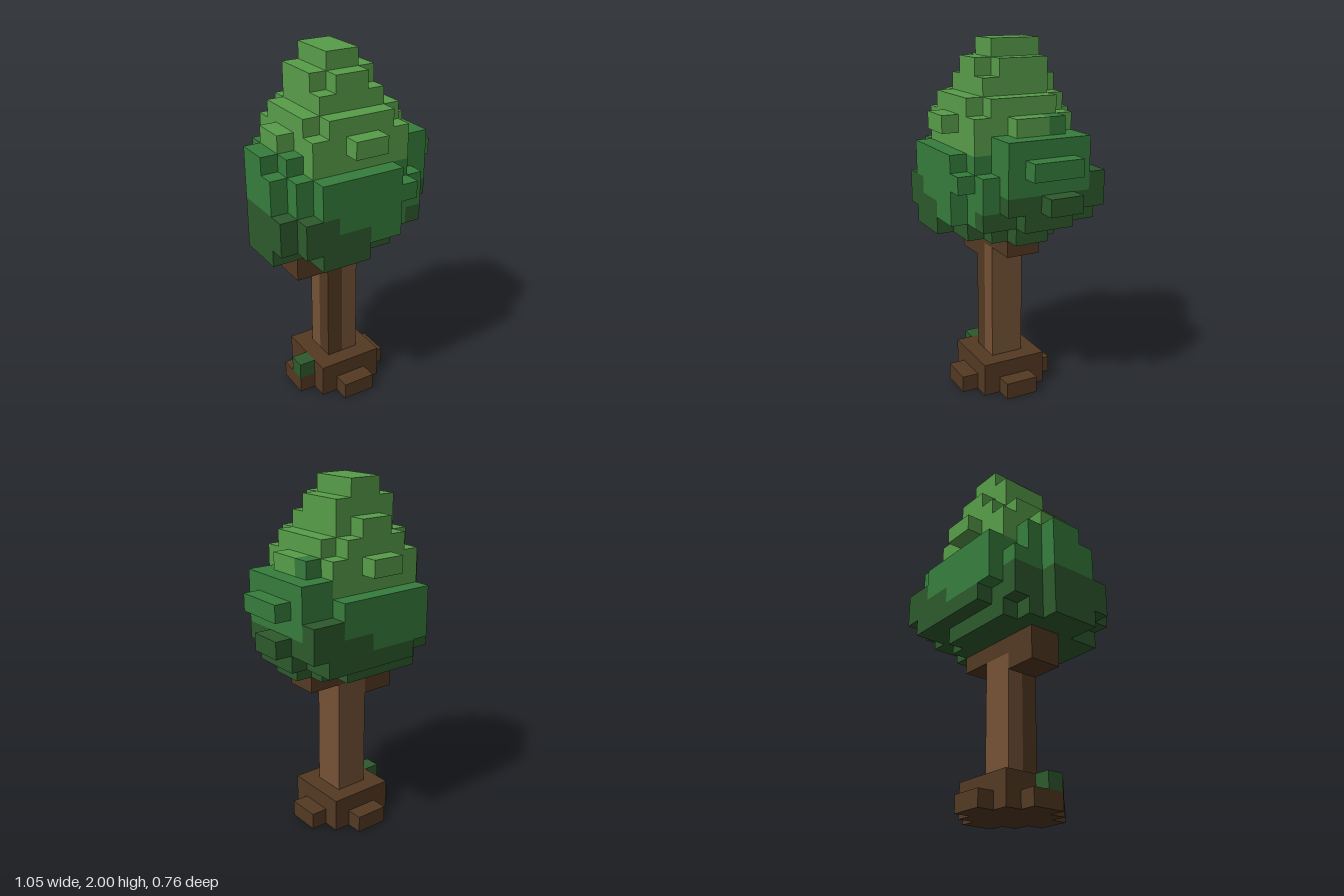
import * as THREE from 'three';

const UNIT = 2 / 21; // block size

const mat = (name, color) => {
  const m = new THREE.MeshStandardMaterial({ color });
  m.name = name;
  return m;
};

// Block grid: column x 0..10, layer y 0..20, row z 0..7 (row 7 is the front)
const blocks = new Map();
const key = (x, y, z) => `${x},${y},${z}`;
function fill(part, [x0, x1], [y0, y1], [z0, z1]) {
  for (let x = x0; x <= x1; x++)
    for (let y = y0; y <= y1; y++)
      for (let z = z0; z <= z1; z++) blocks.set(key(x, y, z), { part, x, y, z });
}
// Recolour blocks that already exist in a range
function paint(part, [x0, x1], [y0, y1], [z0, z1]) {
  for (const b of blocks.values())
    if (b.x >= x0 && b.x <= x1 && b.y >= y0 && b.y <= y1 && b.z >= z0 && b.z <= z1) b.part = part;
}

function buildWood() {
  // Root flare with a stub on each side
  fill('roots', [3, 6], [0, 1], [2, 5]);
  fill('roots', [2, 7], [0, 0], [3, 4]);
  fill('roots', [4, 5], [0, 0], [1, 6]);
  fill('mossBlock', [2, 2], [1, 1], [4, 4]);
  // Trunk with one darker corner
  fill('trunk', [4, 5], [2, 8], [3, 4]);
  fill('trunkShade', [4, 4], [2, 8], [4, 4]);
  // Branches
  fill('branches', [2, 7], [9, 9], [3, 4]);
  fill('branches', [2, 3], [8, 8], [3, 4]);
}

function buildLowerCanopy() {
  const p = 'lowerLeaves';
  // Underside layer
  fill(p, [1, 7], [10, 10], [2, 5]);
  fill(p, [2, 6], [10, 10], [1, 6]);
  fill(p, [0, 0], [10, 10], [3, 5]);
  fill(p, [8, 8], [10, 10], [3, 4]);
  fill(p, [2, 4], [10, 10], [7, 7]);
  // Two wide layers
  fill(p, [1, 8], [11, 12], [1, 6]);
  fill(p, [1, 6], [11, 12], [7, 7]);
  fill(p, [0, 0], [11, 12], [3, 6]);
  fill(p, [9, 9], [11, 11], [2, 4]);
  fill(p, [9, 9], [12, 12], [1, 5]);
  fill(p, [10, 10], [12, 12], [2, 3]);
  fill(p, [3, 8], [11, 11], [0, 0]);
  fill(p, [2, 9], [12, 12], [0, 0]);
  // Mid green reaching down at the front and back
  paint('middleLeaves', [3, 8], [12, 12], [6, 7]);
  paint('middleLeaves', [5, 7], [11, 11], [6, 7]);
  paint('middleLeaves', [2, 5], [12, 12], [0, 0]);
}

function buildMiddleCanopy() {
  const p = 'middleLeaves';
  fill(p, [1, 8], [13, 13], [1, 6]);
  fill(p, [2, 7], [13, 13], [7, 7]);
  fill(p, [2, 7], [13, 14], [0, 0]);
  fill('lowerLeaves', [8, 9], [13, 13], [0, 0]);
  fill(p, [1, 7], [14, 14], [2, 6]);
  fill(p, [2, 7], [14, 14], [1, 1]);
  fill(p, [2, 6], [14, 14], [7, 7]);
  fill(p, [8, 9], [13, 15], [1, 5]);
  fill(p, [10, 10], [14, 14], [2, 4]);
  fill(p, [0, 0], [13, 14], [3, 5]);
  fill(p, [0, 0], [15, 15], [3, 4]);
  fill(p, [1, 1], [15, 15], [2, 5]);
  fill(p, [8, 8], [16, 16], [2, 2]);
}

function buildUpperCanopy() {
  const p = 'upperLeaves';
  fill(p, [2, 7], [15, 16], [1, 6]);
  // Single knobs on the four sides
  fill(p, [4, 5], [16, 16], [0, 7]);
  fill(p, [1, 1], [16, 16], [3, 4]);
  fill(p, [8, 8], [16, 16], [3, 4]);
  // Stepped crown
  fill(p, [2, 7], [17, 17], [2, 5]);
  fill(p, [3, 6], [17, 17], [1, 6]);
  fill(p, [3, 6], [18, 18], [2, 5]);
  fill(p, [4, 5], [18, 18], [1, 1]);
  fill(p, [3, 6], [19, 19], [2, 4]);
  fill(p, [4, 5], [19, 19], [5, 5]);
  fill(p, [4, 5], [20, 20], [2, 4]);
}

// Outer faces of all blocks of one part
function partGeometry(part) {
  const pos = [], nor = [], idx = [];
  for (const b of blocks.values()) {
    if (b.part !== part) continue;
    for (let axis = 0; axis < 3; axis++)
      for (const s of [1, -1]) {
        const n = [0, 0, 0];
        n[axis] = s;
        if (blocks.has(key(b.x + n[0], b.y + n[1], b.z + n[2]))) continue;
        const u = (axis + 1) % 3, v = (axis + 2) % 3, start = pos.length / 3;
        for (const [a, c] of [[-1, -1], [1, -1], [1, 1], [-1, 1]]) {
          const d = [0, 0, 0];
          d[axis] = s / 2;
          d[u] = (a * s) / 2;
          d[v] = c / 2;
          pos.push((b.x - 5 + d[0]) * UNIT, (b.y + 0.5 + d[1]) * UNIT, (b.z - 3.5 + d[2]) * UNIT);
          nor.push(...n);
        }
        idx.push(start, start + 1, start + 2, start, start + 2, start + 3);
      }
  }
  const g = new THREE.BufferGeometry();
  g.setAttribute('position', new THREE.Float32BufferAttribute(pos, 3));
  g.setAttribute('normal', new THREE.Float32BufferAttribute(nor, 3));
  g.setIndex(idx);
  return g;
}

export function createModel() {
  blocks.clear();
  buildWood();
  buildLowerCanopy();
  buildMiddleCanopy();
  buildUpperCanopy();

  const darkBark = mat('dark bark', 0x533923);
  const lightBark = mat('light bark', 0x755236);
  const darkLeaf = mat('dark leaf', 0x2d5a2d);
  const midLeaf = mat('mid leaf', 0x367d3c);
  const lightLeaf = mat('light leaf', 0x589d4a);
  const parts = {
    roots: darkBark,
    mossBlock: darkLeaf,
    trunk: lightBark,
    trunkShade: darkBark,
    branches: darkBark,
    lowerLeaves: darkLeaf,
    middleLeaves: midLeaf,
    upperLeaves: lightLeaf,
  };

  const tree = new THREE.Group();
  tree.name = 'blockTree';
  for (const [name, material] of Object.entries(parts)) {
    const mesh = new THREE.Mesh(partGeometry(name), material);
    mesh.name = name;
    tree.add(mesh);
  }
  return tree;
}
